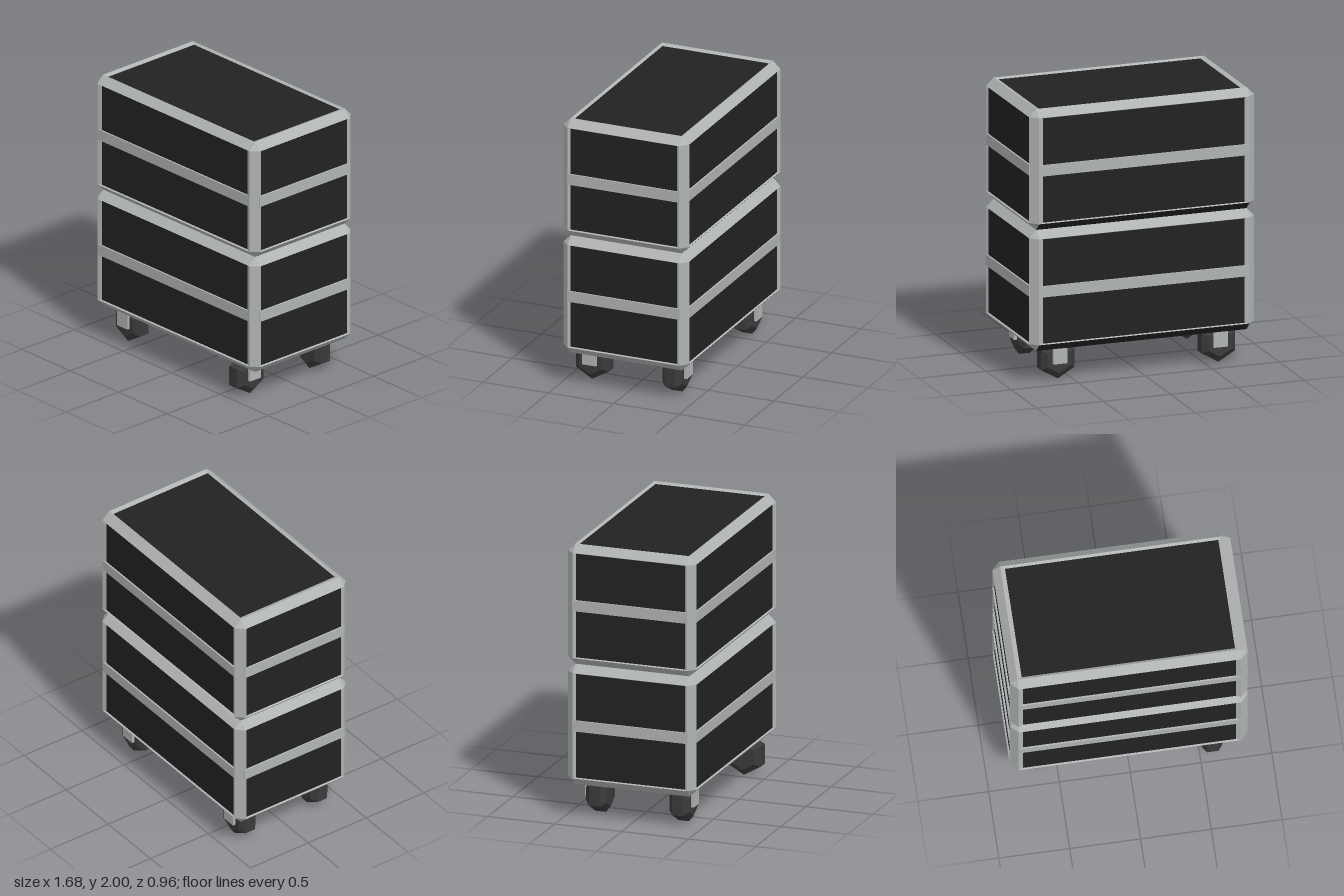
import * as THREE from 'three';

const mat = (name, color) => Object.assign(new THREE.MeshStandardMaterial({ color, flatShading: true }), { name });

const HALF = [0.84, 0.44, 0.48];   // half size of one case
const BEVEL = 0.055;               // chamfer along every edge
const LIP = [0.032, 0.006, 0.018]; // slanted lip around each panel
const RECESS = 0.012;              // panel depth

// Adds a convex polygon, wound so that it faces the direction dir
function addFace(out, pts, dir) {
  const n = pts[1].clone().sub(pts[0]).cross(pts[2].clone().sub(pts[0]));
  const p = n.dot(dir) < 0 ? pts.slice().reverse() : pts;
  for (let i = 1; i < p.length - 1; i++) {
    for (const v of [p[0], p[i], p[i + 1]]) out.push(v.x, v.y, v.z);
  }
}

function toGeometry(positions) {
  const g = new THREE.BufferGeometry();
  g.setAttribute('position', new THREE.Float32BufferAttribute(positions, 3));
  g.computeVertexNormals();
  return g;
}

// Point given by its values on axes a, b and c
function point(a, va, b, vb, c, vc) {
  const v = [0, 0, 0];
  v[a] = va; v[b] = vb; v[c] = vc;
  return new THREE.Vector3(...v);
}

// Chamfered frame with recessed panels
function caseGeometries() {
  const frame = [], panel = [], rearRail = [];
  const flat = HALF.map((h) => h - BEVEL);
  const signs = [[-1, -1], [1, -1], [1, 1], [-1, 1]];
  for (let a = 0; a < 3; a++) {
    const b = (a + 1) % 3, c = (a + 2) % 3;
    // Panel and lip on both faces of this axis; the underside stays plain
    for (const s of [-1, 1]) {
      const dir = point(a, s, b, 0, c, 0);
      const outer = signs.map(([u, v]) => point(a, s * HALF[a], b, u * flat[b], c, v * flat[c]));
      if (a === 1 && s < 0) { addFace(frame, outer, dir); continue; }
      const inner = signs.map(([u, v]) =>
        point(a, s * (HALF[a] - RECESS), b, u * (flat[b] - LIP[b]), c, v * (flat[c] - LIP[c])));
      addFace(panel, inner, dir);
      for (let i = 0; i < 4; i++) {
        const j = (i + 1) % 4;
        addFace(frame, [outer[i], outer[j], inner[j], inner[i]], dir);
      }
    }
    // Four chamfered rails running along this axis
    for (const [u, v] of signs) {
      const isRear = a === 0 && u < 0 && v < 0;
      addFace(isRear ? rearRail : frame, [
        point(a, -flat[a], b, u * HALF[b], c, v * flat[c]),
        point(a, flat[a], b, u * HALF[b], c, v * flat[c]),
        point(a, flat[a], b, u * flat[b], c, v * HALF[c]),
        point(a, -flat[a], b, u * flat[b], c, v * HALF[c]),
      ], point(a, 0, b, u, c, v));
    }
  }
  // Corner triangles
  for (const x of [-1, 1]) for (const y of [-1, 1]) for (const z of [-1, 1]) {
    const s = [x, y, z];
    addFace(frame, [0, 1, 2].map((k) =>
      new THREE.Vector3(...s.map((e, i) => e * (i === k ? HALF[i] : flat[i])))), new THREE.Vector3(x, y, z));
  }
  return [frame, panel, rearRail].map(toGeometry);
}

export function createModel() {
  const metal = mat('grey metal', 0xb0b4b3);
  const black = mat('black panel', 0x222222);
  const rubber = mat('dark rubber', 0x3a3a3a);
  const model = new THREE.Group();
  model.name = 'stackedCaseTrolley';

  const add = (parent, name, geometry, material, x = 0, y = 0, z = 0) => {
    const m = new THREE.Mesh(geometry, material);
    m.name = name;
    m.position.set(x, y, z);
    parent.add(m);
    return m;
  };

  // Two stacked cases, each with a band round its middle
  const [frame, panel, rearRail] = caseGeometries();
  const bandLong = new THREE.BoxGeometry(1.57, 0.08, 0.96);
  const bandWide = new THREE.BoxGeometry(1.68, 0.08, 0.86);
  [['lowerCase', 0.68], ['upperCase', 1.56]].forEach(([name, y]) => {
    const box = new THREE.Group();
    box.name = name;
    box.position.y = y;
    add(box, 'frame', frame, metal);
    add(box, 'panels', panel, black);
    add(box, 'rearBottomRail', rearRail, black);
    add(box, 'bandFrontBack', bandLong, metal);
    add(box, 'bandSides', bandWide, metal);
    model.add(box);
  });

  // Six-sided wheels with a vertex at the bottom; the axle points along +z
  const profile = [[0, -0.08], [0.1, -0.08], [0.145, -0.045], [0.145, 0.035], [0.1, 0.07], [0, 0.07]]
    .map(([r, h]) => new THREE.Vector2(r, h));
  const wheel = new THREE.LatheGeometry(profile, 6).rotateX(Math.PI / 2);
  const fork = new THREE.BoxGeometry(0.105, 0.14, 0.065);
  const casters = [
    ['frontLeftCaster', 0.595, 0.33, Math.PI / 2],
    ['frontRightCaster', -0.605, 0.32, 0],
    ['backLeftCaster', 0.595, -0.31, Math.PI],
    ['backRightCaster', -0.605, -0.31, Math.PI],
  ];
  for (const [name, x, z, turn] of casters) {
    const caster = new THREE.Group();
    caster.name = name;
    caster.position.set(x, 0.145, z);
    caster.rotation.y = turn;
    add(caster, 'wheel', wheel, rubber);
    add(caster, 'fork', fork, metal, 0, 0.045, 0.058);
    model.add(caster);
  }
  return model;
}
